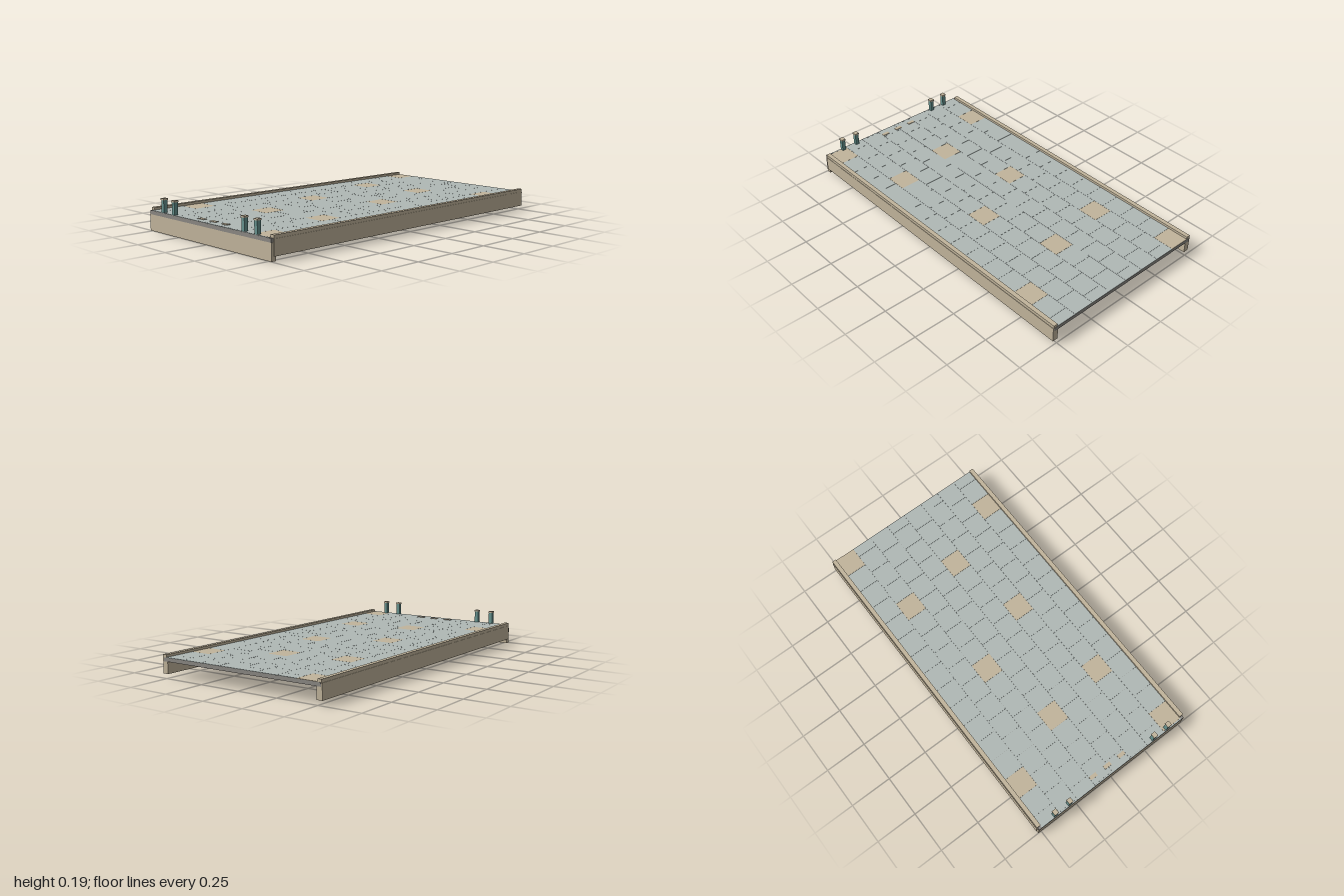
import * as THREE from 'three';

export function createModel() {
  const model = new THREE.Group();
  model.name = 'platform';
  const mat = (name, color) => {
    const m = new THREE.MeshStandardMaterial({ color });
    m.name = name;
    return m;
  };
  const tan = mat('sandstone', 0xc2b59c);
  const paving = mat('paleBlueGreyPaving', 0xb0b9b6);
  const slabGrey = mat('warmGreySlab', 0x8b8883);
  const teal = mat('tealPost', 0x67938f);

  // Box given by its minimum and maximum corners
  const box = (name, material, [x0, y0, z0], [x1, y1, z1], parent = model) => {
    const mesh = new THREE.Mesh(new THREE.BoxGeometry(x1 - x0, y1 - y0, z1 - z0), material);
    mesh.position.set((x0 + x1) / 2, (y0 + y1) / 2, (z0 + z1) / 2);
    mesh.name = name;
    parent.add(mesh);
    return mesh;
  };

  // Deck slab and the deep board closing its left-hand end
  box('deckSlab', slabGrey, [-1, 0.092, -0.518], [1, 0.113, 0.518]);
  box('endBoard', tan, [-1, 0, -0.52], [-0.972, 0.0925, 0.52]);

  // Long side beams with a kerb on top of each
  for (const s of [-1, 1]) {
    const zs = (a, b) => (s > 0 ? [a, b] : [-b, -a]);
    const [b0, b1] = zs(0.492, 0.525);
    box('sideBeam', tan, [-0.985, 0.025, b0], [0.998, 0.111, b1]);
    const [k0, k1] = zs(0.498, 0.523);
    box('kerb', tan, [-0.985, 0.111, k0], [0.999, 0.129, k1]);
  }

  // Paving in staggered rows; a few tiles per row are sandstone
  const tiles = new THREE.Group();
  tiles.name = 'pavingTiles';
  model.add(tiles);
  const pitch = 0.1285, depth = 0.125, gap = 0.0004;
  const sandy = [[2, 15], [12], [7], [4], [12], [9], [4], [1, 14]];
  sandy.forEach((columns, row) => {
    const start = 1 - 16 * pitch - (row % 2 ? pitch / 2 : 0);
    const z = -0.5 + row * depth;
    for (let i = 0; i < 17; i++) {
      const x0 = Math.max(-1, start + i * pitch);
      const x1 = Math.min(1, start + (i + 1) * pitch);
      if (x1 - x0 < 0.005) continue;
      const isSandy = columns.includes(i);
      box(isSandy ? 'sandstoneTile' : 'pavingTile', isSandy ? tan : paving,
        [x0 + gap, 0.112, z + gap], [x1 - gap, 0.115, z + depth - gap], tiles);
    }
  });

  // Capped posts in two pairs
  for (const z of [-0.4, -0.3, 0.3, 0.4]) {
    const post = new THREE.Group();
    post.name = 'post';
    model.add(post);
    box('postShaft', teal, [-0.996, 0.113, z - 0.0115], [-0.973, 0.184, z + 0.0115], post);
    box('postCap', tan, [-0.999, 0.184, z - 0.0135], [-0.97, 0.193, z + 0.0135], post);
  }

  // Low marker blocks between the pairs
  for (const z of [-0.1, 0, 0.1]) {
    box('markerBlock', tan, [-0.961, 0.113, z - 0.023], [-0.939, 0.118, z + 0.023]);
  }
  return model;
}
